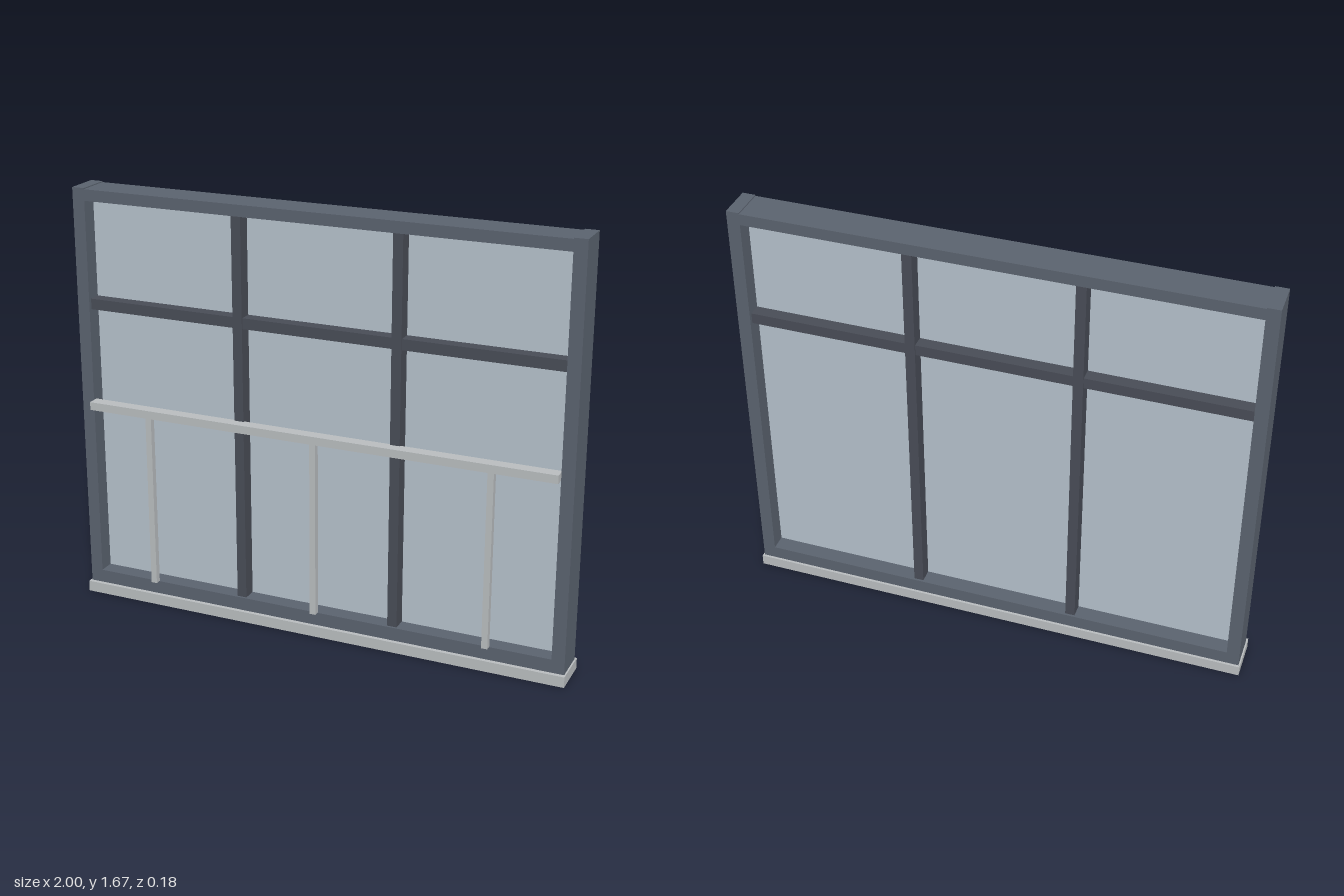
import * as THREE from 'three';

const paint = (color) => new THREE.MeshStandardMaterial({ color });

export function createModel() {
  const model = new THREE.Group();
  model.name = 'window';
  const frame = paint(0x5a626e);
  const bars = paint(0x484c56);
  const metal = paint(0xb8bcbe);
  const glass = paint(0xb4c0ca);

  // Box given by its extents along x, y and z
  function box(name, material, [x0, x1], [y0, y1], [z0, z1]) {
    const mesh = new THREE.Mesh(new THREE.BoxGeometry(x1 - x0, y1 - y0, z1 - z0), material);
    mesh.position.set((x0 + x1) / 2, (y0 + y1) / 2, (z0 + z1) / 2);
    mesh.name = name;
    model.add(mesh);
  }

  const depth = [-0.08, 0.058];
  const inner = 0.944;

  // Projecting sill
  box('sill', metal, [-1, 1], [0, 0.043], [-0.09, 0.074]);

  // Outer frame; the jambs stand slightly above the head
  box('leftJamb', frame, [inner, 0.994], [0.043, 1.667], depth);
  box('rightJamb', frame, [-0.994, -inner], [0.043, 1.667], depth);
  box('head', frame, [-inner, inner], [1.619, 1.663], depth);
  box('bottomRail', frame, [-inner, inner], [0.043, 0.096], depth);

  // Glazing
  box('glassPane', glass, [-inner, inner], [0.096, 1.619], [-0.016, -0.006]);

  // Dividing bars
  for (const x of [-0.316, 0.316]) {
    box('mullion', bars, [x - 0.019, x + 0.019], [0.096, 1.619], [-0.071, 0.049]);
  }
  box('transom', bars, [-inner, inner], [1.193, 1.235], [-0.066, 0.044]);

  // Guard rail on slim posts
  box('guardRail', metal, [-0.943, 0.943], [0.797, 0.829], [0.042, 0.09]);
  for (const x of [-0.693, 0, 0.693]) {
    box('guardPost', metal, [x - 0.012, x + 0.012], [0.096, 0.797], [0.054, 0.078]);
  }
  return model;
}
